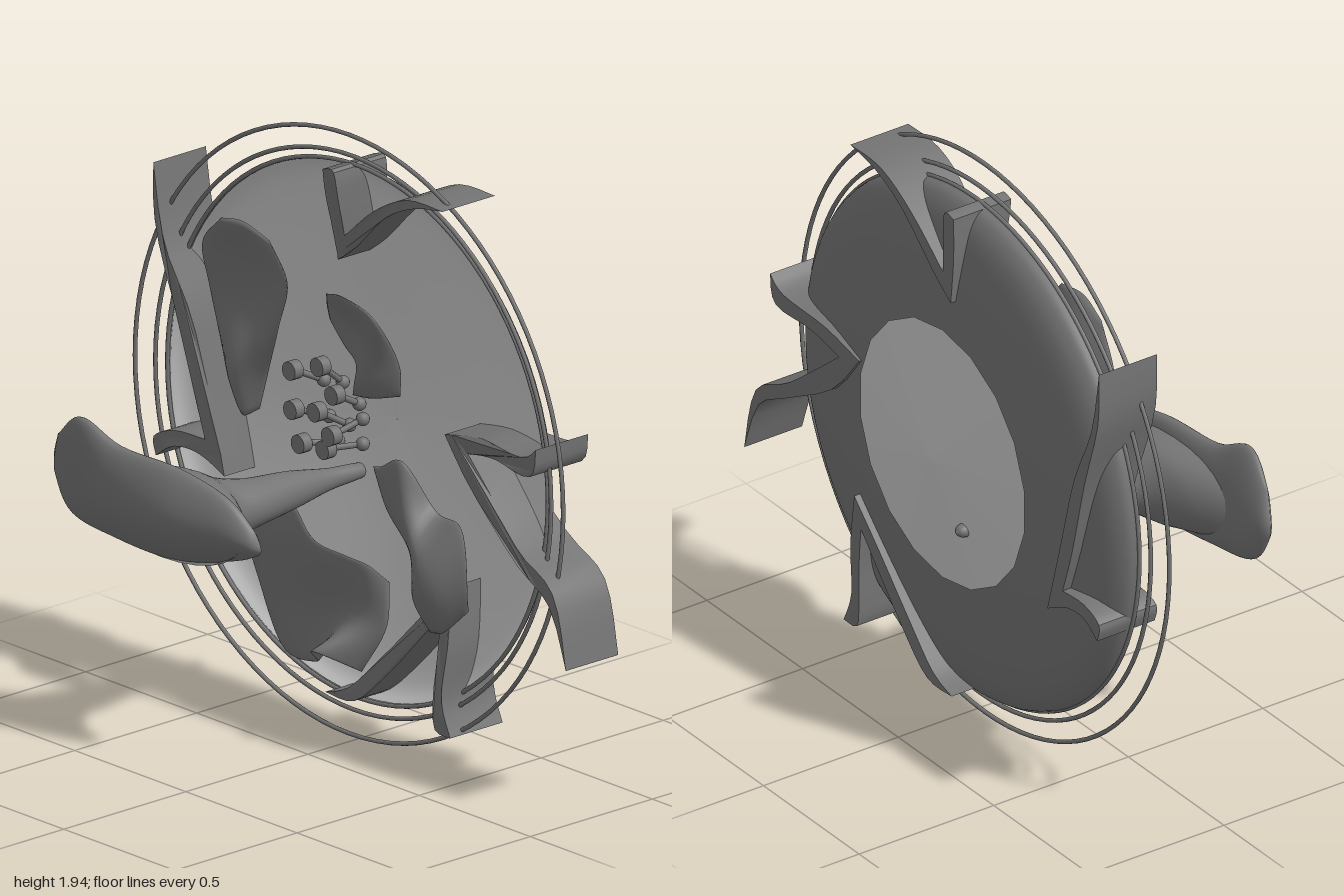
import * as THREE from 'three';
import { mergeVertices, toCreasedNormals } from 'three/addons/utils/BufferGeometryUtils.js';

const CX = -0.04, CY = 0.97; // centre of the dish
const light = new THREE.MeshStandardMaterial({ color: 0xcccccc, side: THREE.DoubleSide });
const dark = new THREE.MeshStandardMaterial({ color: 0x747474, side: THREE.DoubleSide });

function add(parent, name, geometry, x = 0, y = 0, z = 0, material = dark) {
  const m = new THREE.Mesh(geometry, material);
  m.name = name;
  m.position.set(x, y, z);
  parent.add(m);
  return m;
}

// Closed skin over loops: at(u, angle) gives a point, the angle wraps round
function loft(nu, nv, at) {
  const pos = [], idx = [];
  for (let i = 0; i <= nu; i++)
    for (let j = 0; j < nv; j++) pos.push(...at(i / nu, (j / nv) * Math.PI * 2).toArray());
  for (let i = 0; i < nu; i++)
    for (let j = 0; j < nv; j++) {
      const k = (j + 1) % nv, a = i * nv, b = a + nv;
      idx.push(a + j, a + k, b + j, a + k, b + k, b + j);
    }
  const g = new THREE.BufferGeometry();
  g.setAttribute('position', new THREE.Float32BufferAttribute(pos, 3));
  g.setIndex(idx);
  const welded = mergeVertices(g, 1e-4);
  welded.computeVertexNormals();
  return welded;
}

// Lens-thick warped sheet; each row is three points across it
function petal(rows, thick) {
  const across = rows.map(r => new THREE.CatmullRomCurve3(
    [0, 3, 6].map(i => new THREE.Vector3(r[i], r[i + 1], r[i + 2]))));
  return loft(32, 40, (u, t) => {
    const v = 0.5 - 0.5 * Math.cos(t);
    const p = new THREE.CatmullRomCurve3(across.map(c => c.getPoint(v))).getPoint(u);
    p.z += thick * Math.sin(t) * Math.sqrt(Math.max(0, Math.sin(Math.PI * u)));
    return p;
  });
}

// V-shaped band, cut deep along z, its front edge sinking towards the bend
function bandV(edges) {
  const pts = edges.flatMap(e => {
    const v = [];
    for (let i = 0; i < e.length; i += 2) v.push(new THREE.Vector2(e[i], e[i + 1]));
    return new THREE.SplineCurve(v).getPoints(12).slice(0, -1);
  });
  const g = new THREE.ExtrudeGeometry(new THREE.Shape(pts), { depth: 0.215, bevelEnabled: false });
  g.translate(0, 0, -0.365);
  const p = g.attributes.position;
  for (let i = 0; i < p.count; i++) {
    if (p.getZ(i) < -0.2) continue;
    const r = Math.hypot(p.getX(i) - CX, p.getY(i) - CY);
    p.setZ(i, -0.15 - 0.05 * (1 - THREE.MathUtils.smoothstep(r, 0.55, 0.88)));
  }
  return toCreasedNormals(g, 0.6);
}

export function createModel() {
  const model = new THREE.Group();
  model.name = 'flowerDish';

  // Shallow dish: dark outer shell, pale lining and pale faceted centre
  const lathe = (pts, n) => {
    const curve = new THREE.SplineCurve(pts.map(p => new THREE.Vector2(...p)));
    return new THREE.LatheGeometry(curve.getPoints(24), n).rotateX(Math.PI / 2);
  };
  add(model, 'dishShell', lathe([[0.4, -0.36], [0.55, -0.347], [0.7, -0.327], [0.79, -0.305],
    [0.84, -0.275], [0.855, -0.245]], 72), CX, CY, 0);
  add(model, 'dishLining', lathe([[0.001, -0.402], [0.22, -0.38], [0.43, -0.35], [0.68, -0.309],
    [0.8, -0.28], [0.85, -0.247]], 72), CX, CY, 0, light);
  add(model, 'dishCentre', lathe([[0.001, -0.41], [0.215, -0.387], [0.435, -0.364]], 18), CX, CY, 0, light);

  // Thin hoops round the rim
  for (const [r, z] of [[0.963, -0.205], [0.89, -0.222], [0.856, -0.24]])
    add(model, 'hoop', new THREE.TorusGeometry(r, 0.007, 8, 96), CX, CY, z);

  // Four bands: arm A outer, arm B outer, arm B inner, arm A inner
  const bands = {
    topBand: [[-0.1, 1.82, -0.1, 1.68, -0.085, 1.52], [-0.085, 1.52, 0.01, 1.59, 0.17, 1.73, 0.31, 1.8, 0.44, 1.825],
      [0.44, 1.825, 0.28, 1.82, 0.12, 1.74, -0.045, 1.61], [-0.045, 1.61, -0.045, 1.7, -0.05, 1.82, -0.1, 1.82]],
    rightBand: [[0.86, 1.17, 0.79, 1.128, 0.57, 1.12, 0.395, 1.085], [0.395, 1.085, 0.54, 0.915, 0.78, 0.77, 0.92, 0.68, 0.995, 0.495],
      [0.995, 0.495, 0.935, 0.725, 0.76, 0.835, 0.5, 1.05], [0.5, 1.05, 0.65, 1.075, 0.83, 1.075, 0.86, 1.17]],
    bottomBand: [[0.475, 0.14, 0.435, 0.25, 0.44, 0.42, 0.42, 0.6], [0.42, 0.6, 0.29, 0.47, 0.13, 0.3, 0.01, 0.18, -0.09, 0.14],
      [-0.09, 0.14, 0.04, 0.145, 0.17, 0.26, 0.385, 0.5], [0.385, 0.5, 0.395, 0.36, 0.395, 0.25, 0.405, 0.15, 0.475, 0.14]],
    leftBand: [[-0.86, 1.64, -0.82, 1.42, -0.73, 1.21, -0.66, 0.95, -0.59, 0.69], [-0.59, 0.69, -0.69, 0.74, -0.78, 0.745, -0.85, 0.7],
      [-0.85, 0.7, -0.86, 0.76, -0.78, 0.795, -0.67, 0.79], [-0.67, 0.79, -0.72, 0.95, -0.785, 1.22, -0.855, 1.46, -0.86, 1.64]],
  };
  for (const name in bands) add(model, name, bandV(bands[name]));

  // Warped petals
  add(model, 'upperLeftPetal', petal([
    [-0.5, 1.57, -0.1, -0.38, 1.595, -0.08, -0.25, 1.57, -0.07],
    [-0.64, 1.44, -0.15, -0.4, 1.43, -0.15, -0.16, 1.46, -0.06],
    [-0.64, 1.3, -0.18, -0.4, 1.28, -0.16, -0.22, 1.3, -0.08],
    [-0.56, 1.1, -0.17, -0.43, 1.12, -0.1, -0.32, 1.12, -0.13],
    [-0.47, 0.98, -0.14, -0.41, 0.955, -0.11, -0.37, 0.98, -0.14]], 0.025));
  add(model, 'upperPetal', petal([
    [-0.1, 1.33, -0.18, -0.09, 1.38, -0.16, -0.05, 1.44, -0.12],
    [0, 1.28, -0.15, 0.03, 1.37, -0.14, 0.09, 1.48, -0.06],
    [0.1, 1.25, -0.11, 0.15, 1.33, -0.11, 0.22, 1.45, -0.06],
    [0.1, 1.2, -0.1, 0.17, 1.23, -0.12, 0.245, 1.28, -0.15],
    [0.08, 1.15, -0.11, 0.14, 1.15, -0.13, 0.23, 1.17, -0.17]], 0.02));
  add(model, 'rightPetal', petal([
    [0.1, 0.91, -0.18, 0.12, 0.92, -0.16, 0.16, 0.93, -0.15],
    [0.18, 0.8, -0.16, 0.25, 0.87, -0.14, 0.28, 0.985, -0.13],
    [0.31, 0.68, -0.15, 0.36, 0.75, -0.12, 0.37, 0.83, -0.19],
    [0.29, 0.53, -0.17, 0.42, 0.63, -0.1, 0.5, 0.82, -0.17],
    [0.33, 0.43, -0.2, 0.46, 0.48, -0.14, 0.58, 0.58, -0.13]], 0.025));
  add(model, 'lowerPetal', petal([
    [-0.55, 0.64, -0.2, -0.5, 0.7, -0.18, -0.35, 0.75, -0.2],
    [-0.45, 0.42, -0.2, -0.34, 0.55, -0.16, -0.22, 0.7, -0.15],
    [-0.29, 0.22, -0.17, -0.24, 0.4, -0.18, -0.12, 0.63, -0.13],
    [-0.1, 0.24, -0.13, -0.05, 0.4, -0.17, 0.05, 0.62, -0.12],
    [0.01, 0.33, -0.01, 0.08, 0.42, -0.14, 0.13, 0.61, -0.13],
    [0.1, 0.26, -0.13, 0.18, 0.42, -0.16, 0.18, 0.56, -0.17]], 0.022));
  add(model, 'frontPetal', petal([
    [-0.78, 0.8, 0.33, -0.78, 0.84, 0.33, -0.74, 0.92, 0.35],
    [-0.7, 0.68, 0.33, -0.65, 0.8, 0.34, -0.61, 1.015, 0.375],
    [-0.5, 0.64, 0.32, -0.48, 0.78, 0.35, -0.46, 0.96, 0.36],
    [-0.25, 0.63, 0.3, -0.2, 0.78, 0.355, -0.2, 0.945, 0.34],
    [0, 0.69, 0.28, 0, 0.78, 0.32, 0, 0.89, 0.32],
    [0.11, 0.74, 0.3, 0.12, 0.76, 0.3, 0.1, 0.8, 0.3]], 0.052));

  // Flared stalk under the front petal: z, x, half width, half height
  const stalk = [[0.33, -0.3, 0.36, 0.14], [0.25, -0.24, 0.24, 0.135], [0.18, -0.21, 0.115, 0.1],
    [0.08, -0.19, 0.085, 0.078], [-0.1, -0.19, 0.055, 0.06], [-0.25, -0.185, 0.03, 0.035],
    [-0.4, -0.18, 0.02, 0.018], [-0.415, -0.18, 0.001, 0.001]];
  const mid = new THREE.CatmullRomCurve3(stalk.map(s => new THREE.Vector3(s[1], 0.775, s[0])));
  const half = new THREE.CatmullRomCurve3(stalk.map(s => new THREE.Vector3(s[2], s[3], s[0])));
  add(model, 'frontStalk', loft(40, 28, (u, t) => {
    const c = mid.getPoint(u), h = half.getPoint(u);
    return new THREE.Vector3(c.x + h.x * Math.cos(t), c.y + h.y * Math.sin(t), c.z);
  }));

  // Stamens: round knob, thin rod and bead: knob x, y, bead x, y
  const stamens = [[-0.26, 1.125, -0.225, 1.08], [-0.135, 1.17, -0.14, 1.095], [-0.07, 1.095, -0.065, 1.045],
    [-0.255, 1, -0.2, 0.97], [-0.15, 1.02, -0.11, 0.965], [-0.085, 0.96, -0.05, 1],
    [-0.22, 0.9, -0.16, 0.9], [-0.11, 0.91, -0.05, 0.92]];
  for (const [x, y, bx, by] of stamens) {
    const s = new THREE.Group();
    s.name = 'stamen';
    model.add(s);
    add(s, 'knob', new THREE.CylinderGeometry(0.03, 0.03, 0.035, 16).rotateX(Math.PI / 2), x, y, -0.175);
    const path = new THREE.LineCurve3(new THREE.Vector3(x, y, -0.18), new THREE.Vector3(bx, by, -0.27));
    add(s, 'rod', new THREE.TubeGeometry(path, 1, 0.01, 8));
    add(s, 'bead', new THREE.SphereGeometry(0.022, 12, 8), bx, by, -0.27);
  }
  return model;
}
